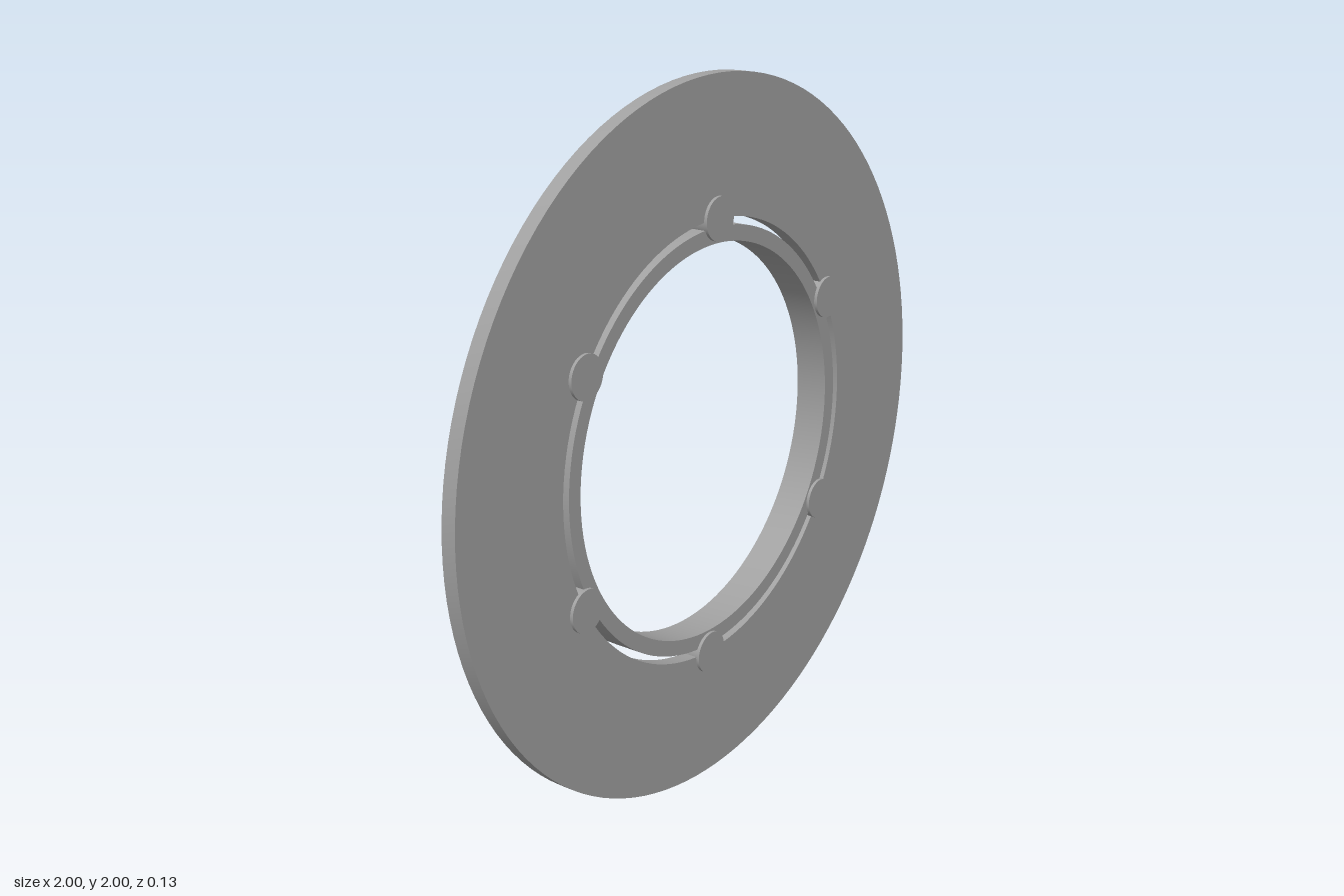
import * as THREE from 'three';
import { toCreasedNormals } from 'three/addons/utils/BufferGeometryUtils.js';

// Flat ring about the z axis with a rectangular cross-section
function ringGeometry(inner, outer, back, front) {
  const profile = [[outer, back], [outer, front], [inner, front], [inner, back], [outer, back]]
    .map(([r, z]) => new THREE.Vector2(r, z));
  const geometry = new THREE.LatheGeometry(profile, 128);
  geometry.rotateX(Math.PI / 2);
  return toCreasedNormals(geometry, 0.6);
}

export function createModel() {
  const model = new THREE.Group();
  model.name = 'flangeRing';
  const grey = new THREE.MeshStandardMaterial({ color: 0xa0a0a0 });
  grey.name = 'plain grey';

  // All parts share a slight forward lean
  const body = new THREE.Group();
  body.name = 'leaningBody';
  body.position.y = 1;
  body.rotation.x = 0.0215;
  model.add(body);

  const add = (name, geometry) => {
    const mesh = new THREE.Mesh(geometry, grey);
    mesh.name = name;
    body.add(mesh);
    return mesh;
  };

  // Wide outer disc and the deeper collar inside it, with a narrow gap between
  const back = 0.003, front = 0.046;
  add('outerDisc', ringGeometry(0.622, 1, back, front));
  add('innerCollar', ringGeometry(0.556, 0.6, -0.051, front));

  // Six round tabs bridge the gap, standing slightly proud of both faces
  const proud = 0.009;
  const tab = new THREE.CylinderGeometry(0.06, 0.06, front - back + 2 * proud, 40);
  tab.rotateX(Math.PI / 2);
  for (let i = 0; i < 6; i++) {
    const a = Math.PI / 2 + i * Math.PI / 3;
    add('bridgeTab' + (i + 1), tab)
      .position.set(0.622 * Math.cos(a), 0.622 * Math.sin(a), (front + back) / 2);
  }
  return model;
}
